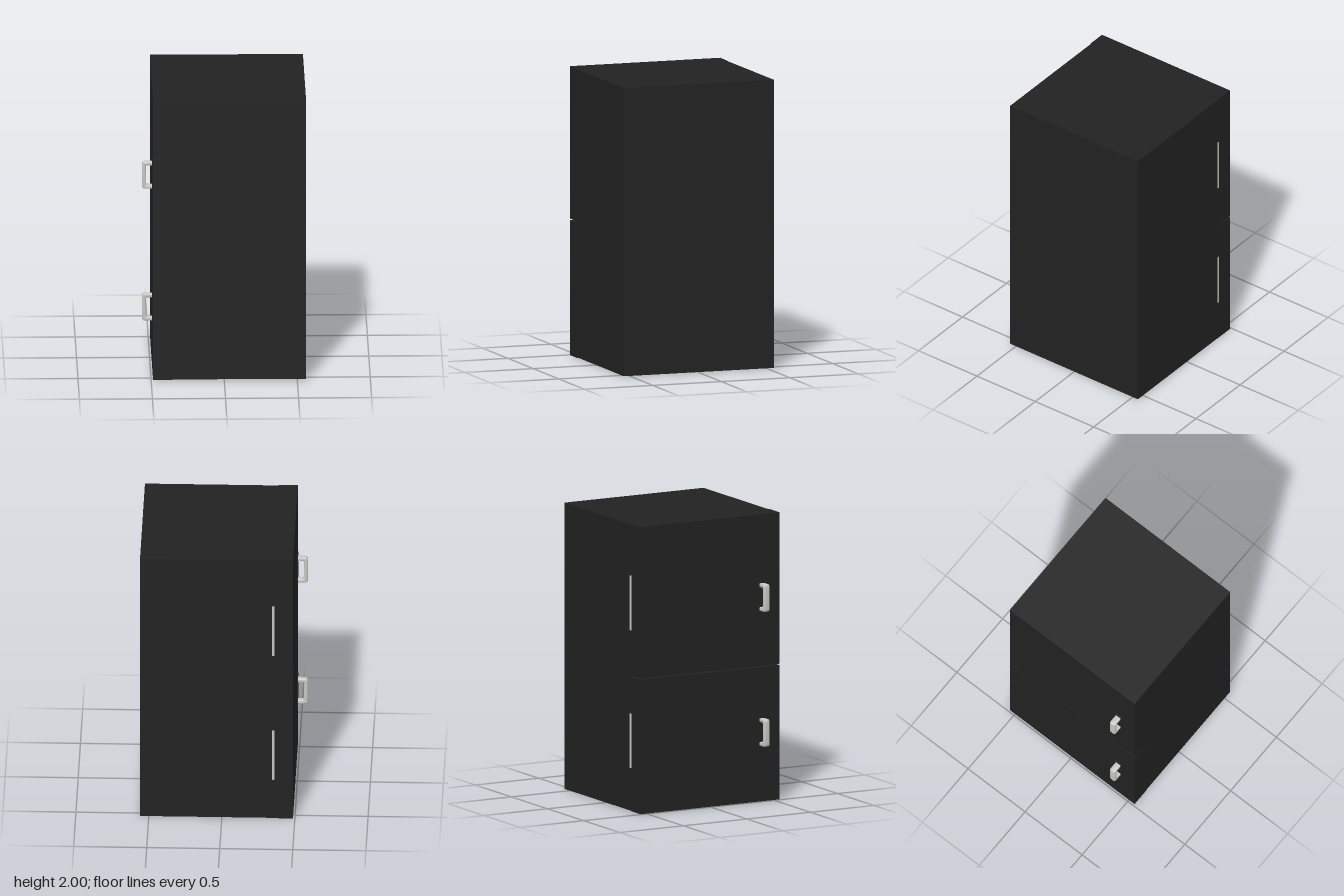
import * as THREE from 'three';
import { toCreasedNormals } from 'three/addons/utils/BufferGeometryUtils.js';

const black = new THREE.MeshStandardMaterial({ color: 0x222222 });
black.name = 'black enamel';
const steel = new THREE.MeshStandardMaterial({ color: 0xc6c6c2 });
steel.name = 'brushed steel';

// Box given by its minimum and maximum corners
function box(name, min, max, material) {
  const size = max.map((v, i) => v - min[i]);
  const mesh = new THREE.Mesh(new THREE.BoxGeometry(...size), material);
  mesh.position.set(...max.map((v, i) => (v + min[i]) / 2));
  mesh.name = name;
  return mesh;
}

const DOOR_FACE = -0.487, DOOR_BACK = -0.355;

// U-shaped pull with rounded corners, open towards the door (+x)
function handleGeometry() {
  const root = 0.004, out = -0.073, h = 0.096, bar = 0.027, r = 0.02, q = 0.007;
  const s = new THREE.Shape();
  s.moveTo(root, -h);
  s.lineTo(root, -h + bar);
  s.lineTo(out + bar + q, -h + bar);
  s.quadraticCurveTo(out + bar, -h + bar, out + bar, -h + bar + q);
  s.lineTo(out + bar, h - bar - q);
  s.quadraticCurveTo(out + bar, h - bar, out + bar + q, h - bar);
  s.lineTo(root, h - bar);
  s.lineTo(root, h);
  s.lineTo(out + r, h);
  s.quadraticCurveTo(out, h, out, h - r);
  s.lineTo(out, -h + r);
  s.quadraticCurveTo(out, -h, out + r, -h);
  s.closePath();
  const bevel = 0.008, width = 0.044;
  const g = new THREE.ExtrudeGeometry(s, {
    depth: width - 2 * bevel, bevelThickness: bevel, bevelSize: bevel,
    bevelOffset: -bevel, bevelSegments: 3, curveSegments: 6,
  });
  g.translate(0, 0, -width / 2 + bevel);
  return toCreasedNormals(g, 0.7);
}

export function createModel() {
  const model = new THREE.Group();
  model.name = 'refrigerator';

  // Cabinet
  model.add(box('cabinet', [DOOR_BACK, 0.003, -0.547], [0.56, 1.997, 0.547], black));

  // Two doors with a narrow gap between, each with a hinge and a handle
  const handle = handleGeometry();
  const hinge = new THREE.CylinderGeometry(0.013, 0.013, 0.38, 20);
  const doors = [
    { name: 'lowerDoor', y0: 0, y1: 0.935, handleY: 0.485, hingeY: 0.49 },
    { name: 'upperDoor', y0: 0.945, y1: 2, handleY: 1.425, hingeY: 1.45 },
  ];
  for (const d of doors) {
    const door = new THREE.Group();
    door.name = d.name;
    door.add(box('doorPanel', [DOOR_FACE, d.y0, -0.546], [DOOR_BACK, d.y1, 0.549], black));

    // Backing plate behind the pull
    door.add(box('handlePlate',
      [DOOR_FACE - 0.006, d.handleY - 0.12, 0.378], [DOOR_FACE, d.handleY + 0.12, 0.442], black));

    const pull = new THREE.Mesh(handle, steel);
    pull.name = 'handle';
    pull.position.set(DOOR_FACE, d.handleY, 0.41);
    door.add(pull);

    // Hinge barrel sunk into the seam
    const barrel = new THREE.Mesh(hinge, steel);
    barrel.name = 'hinge';
    barrel.position.set(-0.352, d.hingeY, -0.538);
    door.add(barrel);

    model.add(door);
  }
  return model;
}
